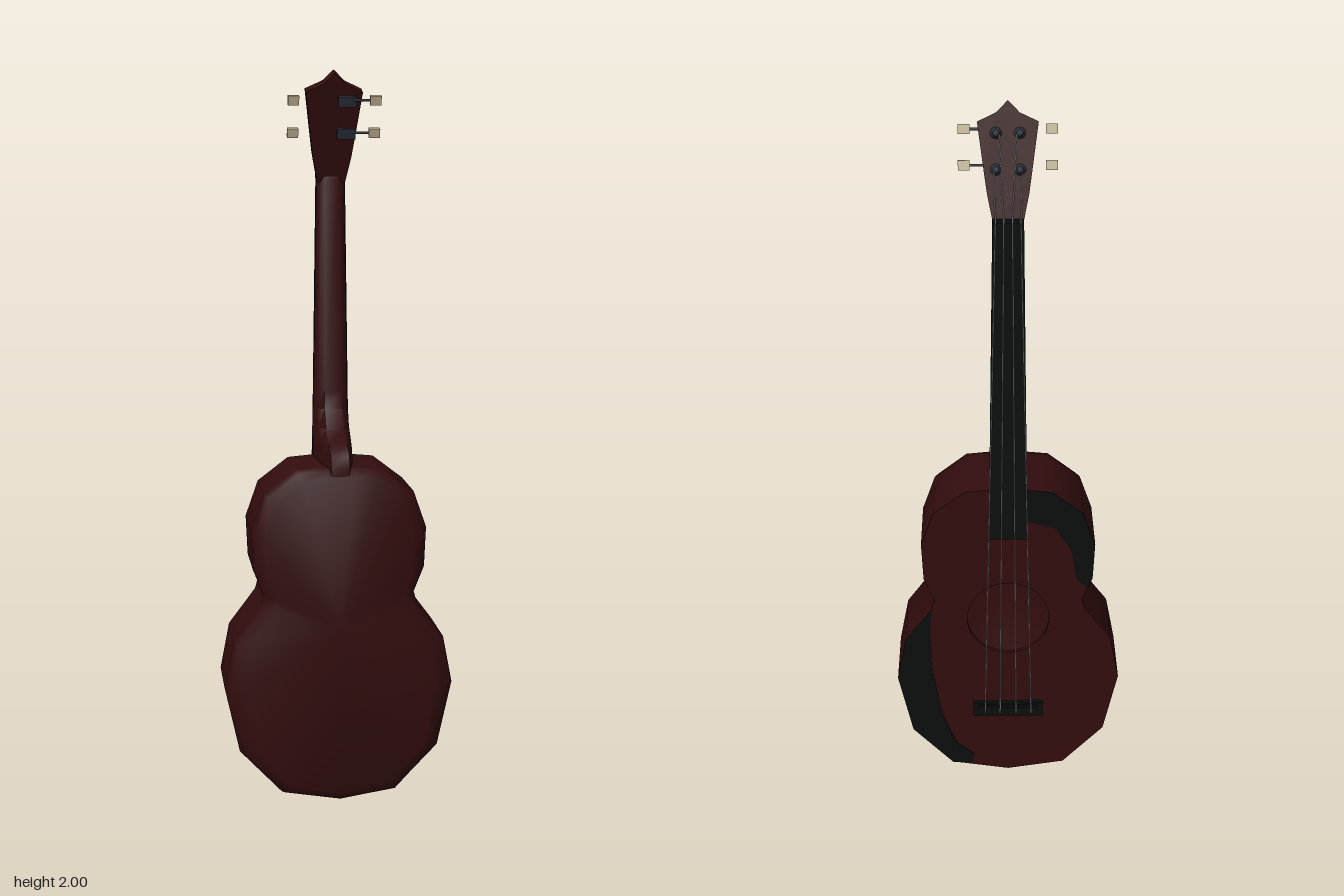
import * as THREE from 'three';
import { toCreasedNormals } from 'three/addons/utils/BufferGeometryUtils.js';

const mat = (name, color, side = THREE.FrontSide) => {
  const m = new THREE.MeshStandardMaterial({ color, side });
  m.name = name;
  return m;
};

// Skin a list of closed rings (arrays of Vector3)
function loft(rings, crease) {
  const n = rings[0].length, pos = [], idx = [];
  rings.forEach(r => r.forEach(p => pos.push(p.x, p.y, p.z)));
  for (let i = 0; i < rings.length - 1; i++) {
    for (let j = 0; j < n; j++) {
      const k = (j + 1) % n, a = i * n + j, b = i * n + k;
      idx.push(a, b, b + n, a, b + n, a + n);
    }
  }
  const g = new THREE.BufferGeometry();
  g.setAttribute('position', new THREE.Float32BufferAttribute(pos, 3));
  g.setIndex(idx);
  return toCreasedNormals(g, crease);
}

const mirrored = half => [
  ...half,
  ...half.slice().reverse().filter(p => p[0] !== 0).map(([x, y]) => [-x, y]),
];
const shapeOf = pts => new THREE.Shape(pts.map(([x, y]) => new THREE.Vector2(x, y)));
const plate = (shape, depth) =>
  new THREE.ExtrudeGeometry(shape, { depth, bevelEnabled: false, curveSegments: 20 });

export function createModel() {
  const root = new THREE.Group();
  root.name = 'ukulele';
  const wood = mat('mahogany', 0x330d0e, THREE.DoubleSide);
  const black = mat('ebony', 0x0c0f0e);
  const metal = mat('slate metal', 0x2b2f37);
  const cream = mat('cream', 0xc2b496);
  const steel = mat('string', 0xb4b2b0);

  const add = (name, geo, material, x = 0, y = 0, z = 0, parent = root) => {
    const m = new THREE.Mesh(geo, material);
    m.name = name;
    m.position.set(x, y, z);
    parent.add(m);
    return m;
  };
  const rod = (name, a, b, r, material, parent = root) => {
    const d = b.clone().sub(a);
    const m = add(name, new THREE.CylinderGeometry(r, r, d.length(), 6), material, 0, 0, 0, parent);
    m.position.copy(a).addScaledVector(d, 0.5);
    m.quaternion.setFromUnitVectors(new THREE.Vector3(0, 1, 0), d.normalize());
  };
  const V = (x, y, z) => new THREE.Vector3(x, y, z);

  // Body: sides and rounded back
  const outline = mirrored([
    [0, 0.005], [0.16, 0.03], [0.275, 0.15], [0.315, 0.33], [0.29, 0.46], [0.215, 0.56],
    [0.207, 0.59], [0.235, 0.66], [0.24, 0.77], [0.205, 0.87], [0.12, 0.935], [0.045, 0.942],
  ]);
  const bodyRings = [
    [-0.106, 1, 1], [0.09, 1, 1], [0.12, 0.955, 0.985], [0.132, 0.84, 0.94], [0.133, 0, 0],
  ].map(([z, sx, sy]) => outline.map(([x, y]) => V(x * sx, 0.5 + (y - 0.5) * sy, z)));
  add('body', loft(bodyRings, 1.2), wood);

  // Soundboard with a round hole
  const top = shapeOf(outline);
  const hole = new THREE.Path();
  hole.absarc(0, 0.53, 0.115, 0, Math.PI * 2, true);
  top.holes.push(hole);
  add('soundboard', plate(top, 0.011), wood, 0, 0, -0.117);

  // Dark crescents along the edge of the soundboard
  const lower = [
    [0.1, 0.03], [0.16, 0.03], [0.275, 0.15], [0.315, 0.33], [0.29, 0.46], [0.215, 0.56],
    [0.22, 0.48], [0.215, 0.35], [0.19, 0.2], [0.15, 0.1], [0.1, 0.06],
  ];
  const upper = [
    [-0.04, 0.942], [-0.12, 0.935], [-0.205, 0.87], [-0.24, 0.77], [-0.235, 0.66], [-0.22, 0.63],
    [-0.19, 0.66], [-0.175, 0.75], [-0.13, 0.82], [-0.04, 0.85],
  ];
  add('lowerCrescent', plate(shapeOf(lower), 0.004), black, 0, 0, -0.12);
  add('upperCrescent', plate(shapeOf(upper), 0.004), black, 0, 0, -0.12);

  // Neck and heel: rows of height, half width, back depth
  const neckRings = [
    [0.9, 0.05, 0.128], [0.945, 0.05, 0.13], [0.975, 0.05, 0.118], [1.0, 0.05, 0.07],
    [1.03, 0.05, 0.0], [1.08, 0.049, -0.038], [1.13, 0.048, -0.047], [1.71, 0.039, -0.084],
    [1.73, 0.038, -0.09],
  ].map(([y, w, b]) => {
    const f = -0.112, m = f + (b - f) * 0.6;
    return [[-w, f], [-w * 0.88, m], [-w * 0.5, b], [w * 0.5, b], [w * 0.88, m], [w, f]]
      .map(([x, z]) => V(x, y, z));
  });
  add('neck', loft(neckRings, 1.0), wood);

  // Fretboard, nut and bridge
  const board = shapeOf([[-0.053, 0.79], [0.053, 0.79], [0.04, 1.72], [-0.04, 1.72]]);
  add('fretboard', plate(board, 0.014), black, 0, 0, -0.124);
  add('nut', new THREE.BoxGeometry(0.08, 0.012, 0.02), black, 0, 1.717, -0.118);
  add('bridge', new THREE.BoxGeometry(0.2, 0.045, 0.013), black, 0, 0.225, -0.1225);
  add('saddle', new THREE.BoxGeometry(0.17, 0.01, 0.006), black, 0, 0.237, -0.13);

  // Headstock, tilted back
  const head = new THREE.Group();
  head.name = 'headstock';
  head.position.set(0, 1.71, -0.108);
  head.rotation.x = 0.31;
  root.add(head);
  const headShape = shapeOf(mirrored([
    [0.038, -0.005], [0.053, 0.07], [0.06, 0.12], [0.077, 0.248], [0.03, 0.27], [0, 0.3],
  ]).filter(([x, y]) => x !== undefined && y !== undefined));
  add('headPlate', plate(headShape, 0.038), wood, 0, 0, -0.019, head);

  // Tuners: flared posts on the face, buttons at the sides
  const postProfile = [[0, -0.05], [0.009, -0.05], [0.006, -0.042], [0.006, -0.034],
    [0.015, -0.022], [0.015, -0.017]].map(([r, y]) => new THREE.Vector2(r, y));
  for (const y of [0.13, 0.22]) {
    for (const s of [-1, 1]) {
      const post = add('tunerPost', new THREE.LatheGeometry(postProfile, 10), metal, s * 0.03, y, 0, head);
      post.rotation.x = Math.PI / 2;
      add('tunerButton', new THREE.BoxGeometry(0.03, 0.025, 0.013), cream, s * 0.111, y + 0.01, 0.03, head);
    }
    add('tunerGear', new THREE.BoxGeometry(0.05, 0.028, 0.014), metal, 0.035, y + 0.005, 0.025, head);
    rod('tunerShaft', V(0.05, y + 0.01, 0.03), V(0.1, y + 0.01, 0.03), 0.004, metal, head);
  }

  // Strings: bridge to nut, then on to the posts
  for (const s of [-1, 1]) {
    [[0.023, 0.011, 0.022, 1.93, -0.083], [0.066, 0.032, 0.036, 1.846, -0.11]]
      .forEach(([bx, nx, px, py, pz]) => {
        const nut = V(s * nx, 1.717, -0.129);
        rod('string', V(s * bx, 0.215, -0.132), nut, 0.0018, steel);
        rod('stringEnd', nut, V(s * px, py, pz), 0.0018, steel);
      });
  }
  return root;
}
